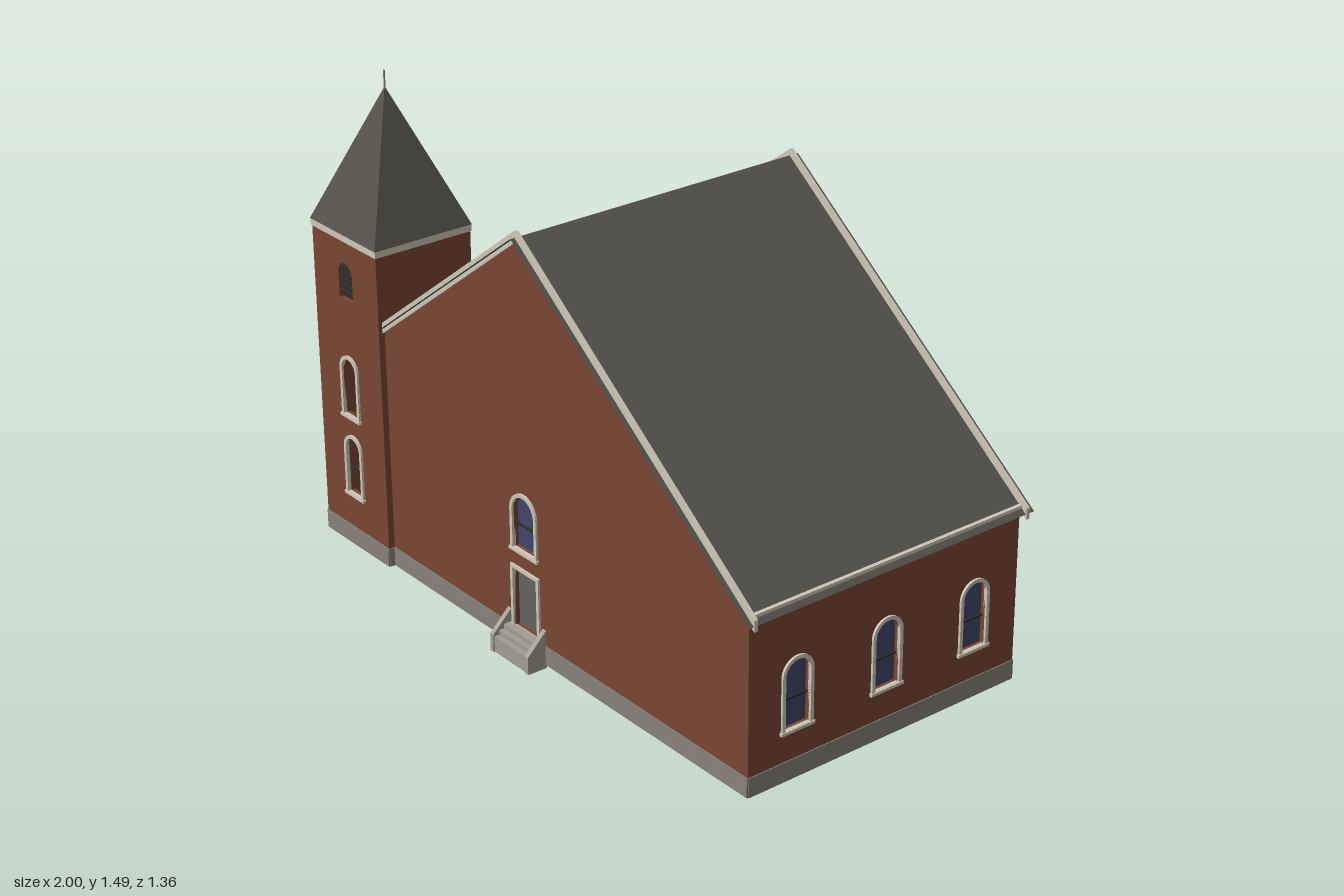
import * as THREE from 'three';

const mat = (name, color, side = THREE.FrontSide) => {
  const m = new THREE.MeshStandardMaterial({ color, side });
  m.name = name;
  return m;
};

export function createModel() {
  const D = THREE.DoubleSide;
  const M = {
    brick: mat('brick', 0x7a4634, D),
    roof: mat('roofSlate', 0x55524b, D),
    base: mat('baseStone', 0x87827a),
    trim: mat('paleTrim', 0xcfc8b8),
    glass: mat('blueGlass', 0x40466a, D),
    inGlass: mat('innerGlass', 0x40466a),
    door: mat('doorGrey', 0x66645c, D),
    steps: mat('stepStone', 0xa39d92),
    dark: mat('darkShutter', 0x2e2d2a, D),
  };
  const model = new THREE.Group();
  model.name = 'church';

  const add = (parent, name, geo, material, x = 0, y = 0, z = 0) => {
    const m = new THREE.Mesh(geo, material);
    m.name = name;
    m.position.set(x, y, z);
    parent.add(m);
    return m;
  };
  const box = (parent, name, material, x0, x1, y0, y1, z0, z1) =>
    add(parent, name, new THREE.BoxGeometry(x1 - x0, y1 - y0, z1 - z0), material,
      (x0 + x1) / 2, (y0 + y1) / 2, (z0 + z1) / 2);
  const poly = (pts) => new THREE.Shape(pts.map(([x, y]) => new THREE.Vector2(x, y)));
  const extrude = (shape, depth) =>
    new THREE.ExtrudeGeometry(shape, { depth, bevelEnabled: false, curveSegments: 10 });

  // Outline of an opening: half width w, sill y0, top y1, round-headed or square
  const outline = (u, w, y0, y1, arch) => {
    const s = new THREE.Shape();
    s.moveTo(u - w, y0);
    s.lineTo(u + w, y0);
    if (arch) {
      s.lineTo(u + w, y1 - w);
      s.absarc(u, y1 - w, w, 0, Math.PI, false);
    } else {
      s.lineTo(u + w, y1);
      s.lineTo(u - w, y1);
    }
    s.closePath();
    return s;
  };

  // A wall faces local +z; its openings get panes, frames, sills and bars
  const T = 0.018;
  const wall = (name, pts, x, z, turn, openings = [], bases = []) => {
    const g = new THREE.Group();
    g.name = name;
    g.position.set(x, 0, z);
    g.rotation.y = turn * Math.PI / 2;
    model.add(g);
    const shape = poly(pts);
    for (const o of openings) {
      const { u, w, y0, y1, arch = true, kind } = o;
      shape.holes.push(outline(u, w, y0, y1, arch));
      const pane = add(g, 'pane', new THREE.ShapeGeometry(outline(u, w, y0, y1, arch), 10), o.pane || M.glass, 0, 0, -T + 0.003);
      if (o.pane === M.inGlass) { // glazing that faces the inside only
        pane.geometry.scale(-1, 1, 1);
        pane.geometry.translate(2 * u, 0, 0);
        const idx = pane.geometry.index;
        for (let i = 0; i < idx.count; i += 3) {
          const a = idx.getX(i); idx.setX(i, idx.getX(i + 1)); idx.setX(i + 1, a);
        }
        pane.geometry.scale(1, 1, -1);
        const j = pane.geometry.index;
        for (let i = 0; i < j.count; i += 3) {
          const a = j.getX(i); j.setX(i, j.getX(i + 1)); j.setX(i + 1, a);
        }
        pane.geometry.computeVertexNormals();
        // make sure the winding looks inward
        if (pane.geometry.attributes.normal.getZ(0) > 0) {
          for (let i = 0; i < j.count; i += 3) {
            const a = j.getX(i); j.setX(i, j.getX(i + 1)); j.setX(i + 1, a);
          }
          pane.geometry.computeVertexNormals();
        }
      }
      if (kind === 'louvre') {
        for (let y = y0 + 0.015; y < y1 - 0.01; y += 0.02) {
          box(g, 'louvreSlat', M.dark, u - w * 0.85, u + w * 0.85, y, y + 0.007, -T + 0.004, -0.002);
        }
      } else if (kind === 'lintel') {
        box(g, 'lintel', M.trim, u - 0.042, u + 0.042, y1, y1 + 0.015, -0.005, 0.008);
        box(g, 'sill', M.trim, u - 0.042, u + 0.042, y0 - 0.008, y0, -0.005, 0.01);
      } else {
        const f = 0.011;
        const ring = outline(u, w + f, y0, y1 + f, arch);
        ring.holes.push(outline(u, w, y0 + 0.0005, y1, arch));
        add(g, 'frame', extrude(ring, 0.012), M.trim, 0, 0, -0.005);
        if (kind !== 'door') {
          box(g, 'sill', M.trim, u - w - 0.015, u + w + 0.015, y0 - 0.009, y0, -0.005, 0.01);
          const by = y0 + (y1 - y0) * 0.42;
          box(g, 'glazingBar', M.dark, u - w, u + w, by - 0.003, by + 0.003, -T + 0.004, -T + 0.01);
        }
      }
    }
    add(g, 'brickwork', extrude(shape, T), M.brick, 0, 0, -T);
    for (const [a, b] of bases) box(g, 'plinth', M.base, a, b, 0.01, 0.07, 0.0005, 0.0035);
    return g;
  };
  const rect = (a, b, y0, y1) => [[a, y0], [b, y0], [b, y1], [a, y1]];

  // Main hall walls
  const W = 0.965, ZF = 0.615, ZB = -0.345, K = 0.749;
  const rise = (x, top = 1.28) => top - K * Math.abs(x);
  const wallTop = (x) => rise(x, 1.277);
  const sideWin = (u) => ({ u, w: 0.043, y0: 0.165, y1: 0.37 });
  wall('frontWall',
    [[-0.665, 0.01], [W, 0.01], [W, wallTop(W)], [0, wallTop(0)], [-0.665, wallTop(0.665)]], 0, ZF, 0,
    [{ u: 0, w: 0.05, y0: 0.33, y1: 0.5 },
      { u: 0, w: 0.055, y0: 0.075, y1: 0.262, arch: false, kind: 'door', pane: M.door }],
    [[-0.665, W]]);
  wall('backWall', [[-W, 0.01], [W, 0.01], [W, wallTop(W)], [0, wallTop(0)], [-W, wallTop(W)]], 0, ZB, 2,
    [sideWin(0)], [[-W, 0.735]]);
  wall('leftWall', rect(-ZF, -ZB, 0.01, wallTop(W)), W, 0, 1,
    [0.45, 0.135, -0.185].map((z) => sideWin(-z)), [[-ZF, -ZB]]);
  wall('rightWall', rect(ZB, 0.305, 0.01, wallTop(W)), -W, 0, -1,
    [0.135, -0.185].map(sideWin), [[ZB, 0.305]]);

  // Thin sloping roof sheet between two heights
  const sheet = (name, xa, ya, xb, yb, z0, z1) => {
    const geo = new THREE.BufferGeometry();
    const p = [xa, ya, z0, xa, ya, z1, xb, yb, z1, xb, yb, z0];
    geo.setAttribute('position', new THREE.Float32BufferAttribute(p, 3));
    geo.setIndex([0, 1, 2, 0, 2, 3]);
    geo.computeVertexNormals();
    add(model, name, geo, M.roof);
  };
  const E = 0.993;
  sheet('roofLeft', 0, 1.28, E, rise(E), -0.372, 0.637);
  sheet('roofRight', -E, rise(E), 0, 1.28, -0.372, 0.305);
  sheet('roofRightFront', -0.665, rise(0.665), 0, 1.28, 0.305, 0.637);

  // Pale boards along gables and eaves
  const rake = (name, x0, x1, cx, z, top, k, lo, hi) => {
    const y = (x, d) => top - k * Math.abs(x) + d;
    add(model, name, extrude(poly([[x0, y(x0, lo)], [0, y(0, lo)], [x1, y(x1, lo)],
      [x1, y(x1, hi)], [0, y(0, hi)], [x0, y(x0, hi)]]), 0.012), M.trim, cx, 0, z - 0.006);
  };
  rake('frontRakeBoard', -0.665, 0.995, 0, ZF + 0.002, 1.28, K, -0.014, 0.02);
  rake('backRakeBoard', -0.995, 0.995, 0, ZB - 0.002, 1.28, K, -0.014, 0.02);
  box(model, 'leftEaveBoard', M.trim, W, W + 0.012, 0.53, 0.558, ZB, ZF);
  box(model, 'rightEaveBoard', M.trim, -W - 0.012, -W, 0.53, 0.558, ZB, 0.305);

  // Corner tower; its two inner walls stop just under the hall roof
  const TX = -0.83, TZ = 0.47, H = 0.165;
  const towerOpenings = [
    { u: 0, w: 0.035, y0: 0.185, y1: 0.37, pane: M.inGlass },
    { u: 0, w: 0.035, y0: 0.445, y1: 0.63, pane: M.inGlass },
    { u: 0, w: 0.035, y0: 0.82, y1: 0.935, kind: 'louvre', pane: M.dark },
  ];
  const innerWall = [[-H, 0.01], [-H + 0.03, 0.01], [-H + 0.03, 0.5], [H, 0.5], [H, 1.01], [-H, 1.01]];
  const towerWalls = [
    wall('towerFront', rect(-H, H, 0.01, 1.01), TX, TZ + H, 0, towerOpenings, [[-H, H]]),
    wall('towerRight', rect(-H, H, 0.01, 1.01), TX - H, TZ, -1, towerOpenings, [[-H, H]]),
    wall('towerInnerSide', innerWall, TX + H, TZ, 1, [], [[-H, -H + 0.02]]),
    wall('towerInnerBack', innerWall.map(([u, y]) => [-u, y]).reverse(), TX, TZ - H, 2, [], [[H - 0.025, H]]),
  ];
  for (const g of towerWalls) box(g, 'cornice', M.trim, -H - 0.003, H + 0.003, 1.005, 1.026, -0.012, 0.003);
  const spire = new THREE.ConeGeometry(0.169 * Math.SQRT2, 0.415, 4, 1, true).toNonIndexed();
  spire.rotateY(Math.PI / 4);
  spire.computeVertexNormals();
  add(model, 'spire', spire, M.roof, TX, 1.026 + 0.2075, TZ);
  add(model, 'finial', new THREE.CylinderGeometry(0.003, 0.003, 0.06, 6), M.base, TX, 1.46, TZ);

  // Rear annex
  const AX = -0.85, A = 0.115, AZ = -0.652, AK = 0.8;
  const annexWin = (u) => ({ u, w: 0.036, y0: 0.163, y1: 0.265, arch: false, kind: 'lintel', pane: M.dark });
  const aTop = 0.448 - AK * A;
  wall('annexBack', [[-A, 0.01], [A, 0.01], [A, aTop], [0, 0.447], [-A, aTop]], AX, AZ, 2, [annexWin(0)], [[-A, A]]);
  wall('annexLeft', rect(-ZB, -AZ, 0.01, aTop), AX + A, 0, 1, [annexWin(0.5)], [[-ZB, -AZ]]);
  wall('annexRight', rect(AZ, ZB, 0.01, aTop), AX - A, 0, -1, [annexWin(-0.5)], [[AZ, ZB]]);
  for (const s of [-1, 1]) {
    const xe = AX + s * 0.137, ye = 0.45 - AK * 0.137;
    if (s > 0) sheet('annexRoofLeft', AX, 0.45, xe, ye, -0.677, ZB);
    else sheet('annexRoofRight', xe, ye, AX, 0.45, -0.677, ZB);
    const x = AX + s * (A + 0.005);
    box(model, 'annexEaveBoard', M.trim, x - 0.005, x + 0.005, 0.335, 0.36, AZ, ZB);
  }
  rake('annexRakeBoard', -0.137, 0.137, AX, AZ - 0.004, 0.45, AK, -0.018, 0.006);

  // Entrance steps between sloping cheek walls
  const stair = new THREE.Group();
  stair.name = 'entranceSteps';
  model.add(stair);
  [[0.05, 0.676], [0.064, 0.659], [0.078, 0.642]].forEach(([y, z]) =>
    box(stair, 'step', M.steps, -0.076, 0.076, 0, y, ZF, z));
  for (const x of [-0.09, 0.075]) {
    const cheek = extrude(poly([[-ZF, 0], [-ZF, 0.12], [-0.68, 0.055], [-0.68, 0]].reverse()), 0.015);
    cheek.rotateY(Math.PI / 2);
    add(stair, 'cheekWall', cheek, M.steps, x, 0, 0);
  }
  return model;
}
